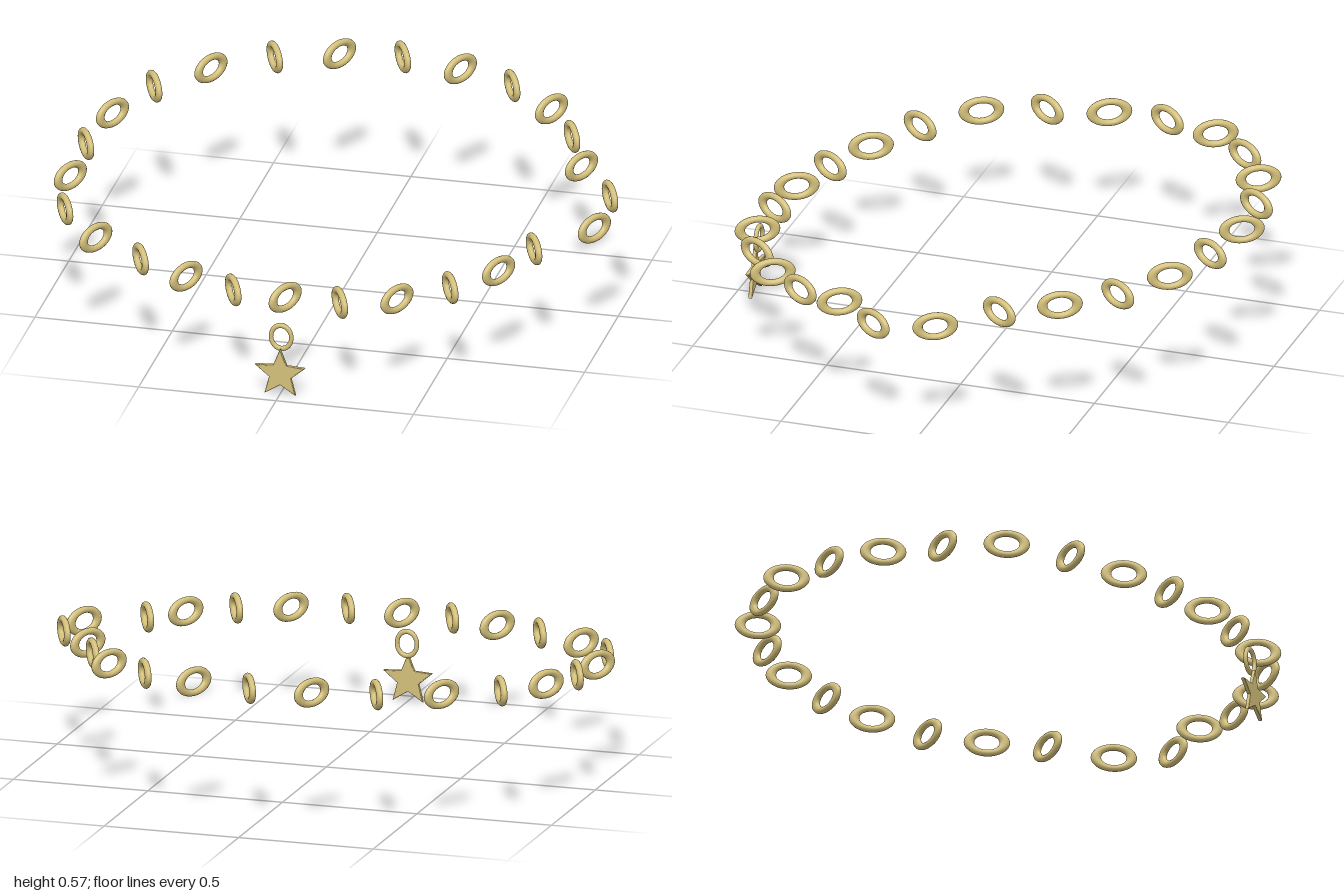
import * as THREE from 'three';

export function createModel() {
  const group = new THREE.Group();
  group.name = 'starBracelet';
  const gold = new THREE.MeshStandardMaterial({ color: 0xd4c07a });

  // Link centres as [x, z], clockwise from the back
  const centres = [
    [0, -0.88], [0.22, -0.837], [0.428, -0.757], [0.604, -0.623], [0.722, -0.447],
    [0.805, -0.249], [0.955, -0.061], [0.955, 0.171], [0.781, 0.356], [0.695, 0.532],
    [0.556, 0.682], [0.39, 0.797], [0.198, 0.861], [0, 0.864], [-0.193, 0.848],
    [-0.38, 0.786], [-0.567, 0.698], [-0.759, 0.58], [-0.914, 0.404], [-0.952, 0.171],
    [-0.952, -0.061], [-0.912, -0.291], [-0.813, -0.505], [-0.647, -0.671],
    [-0.444, -0.791], [-0.225, -0.858],
  ];

  // Oval links turned alternately left and right, rising toward the back
  const linkGeo = new THREE.TorusGeometry(0.041, 0.012, 12, 40).scale(1.55, 1, 1);
  const chain = new THREE.Group();
  chain.name = 'chain';
  centres.forEach(([x, z], i) => {
    const link = new THREE.Mesh(linkGeo, gold);
    link.name = 'chainLink';
    link.position.set(x, 0.428 - 0.1 * z, z);
    link.rotation.y = THREE.MathUtils.degToRad(i % 2 ? 61 : -61);
    chain.add(link);
  });
  group.add(chain);

  // Small upright ring holding the charm
  const ring = new THREE.Mesh(
    new THREE.TorusGeometry(0.037, 0.008, 12, 40).scale(1, 1.2, 1), gold);
  ring.name = 'charmRing';
  ring.position.set(0, 0.214, 0.923);
  group.add(ring);

  // Thin five-pointed star charm with a fine bevel
  const shape = new THREE.Shape();
  for (let i = 0; i < 10; i++) {
    const r = i % 2 ? 0.042 : 0.096;
    const a = Math.PI / 2 + (i * Math.PI) / 5;
    const x = r * Math.cos(a), y = r * Math.sin(a);
    if (i) shape.lineTo(x, y); else shape.moveTo(x, y);
  }
  shape.closePath();
  const starGeo = new THREE.ExtrudeGeometry(shape, {
    depth: 0.008, bevelEnabled: true, bevelThickness: 0.003,
    bevelSize: 0.003, bevelOffset: -0.003, bevelSegments: 2,
  }).translate(0, 0, -0.004);
  const star = new THREE.Mesh(starGeo, gold);
  star.name = 'starCharm';
  star.position.set(0, 0.078, 0.937);
  group.add(star);

  return group;
}
